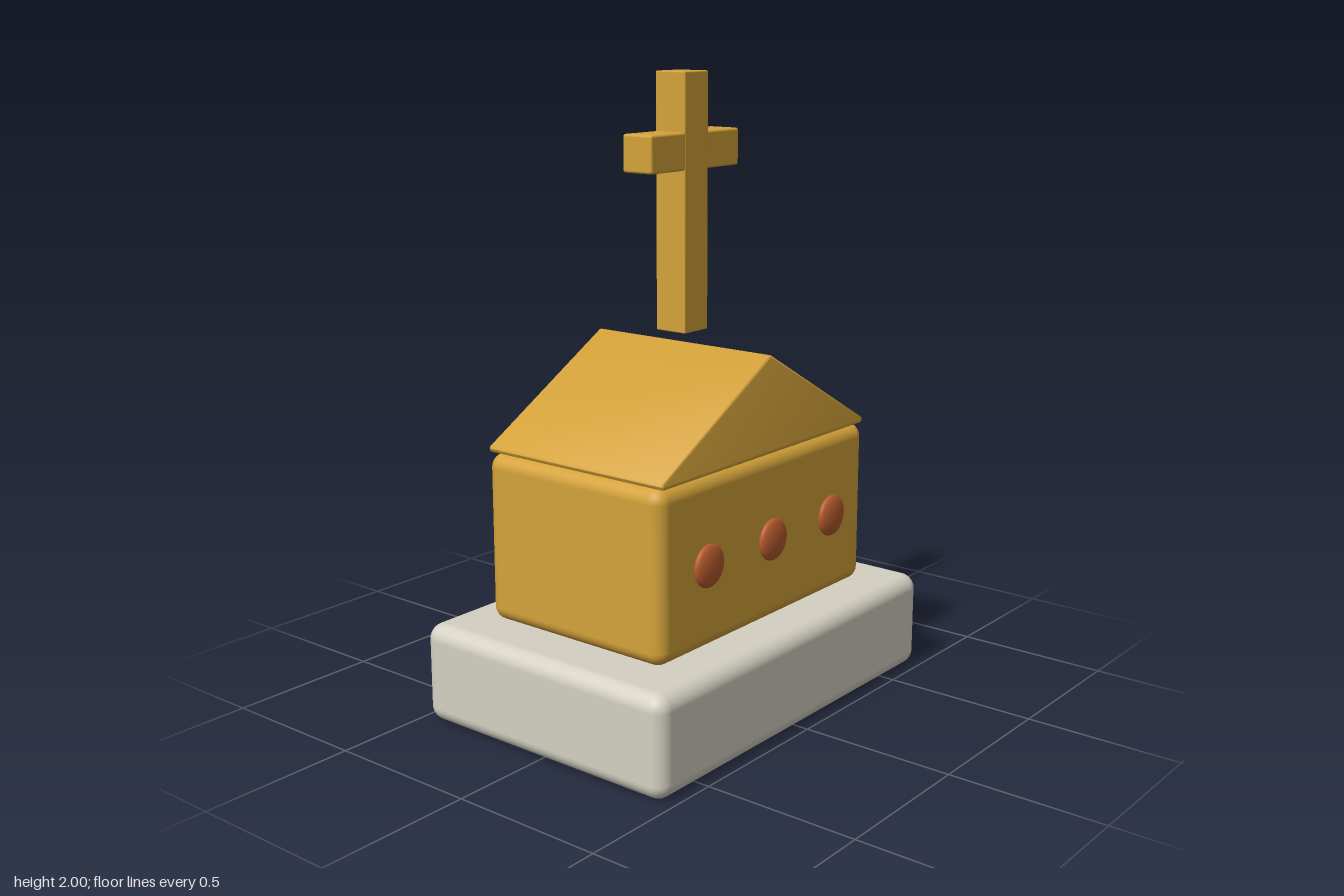
import * as THREE from 'three';
import { RoundedBoxGeometry } from 'three/addons/geometries/RoundedBoxGeometry.js';
import { toCreasedNormals } from 'three/addons/utils/BufferGeometryUtils.js';

const material = (name, color) => {
  const m = new THREE.MeshStandardMaterial({ color });
  m.name = name;
  return m;
};

export function createModel() {
  const group = new THREE.Group();
  group.name = 'chapel';
  const gold = material('gold', 0xd4a23a);
  const stone = material('pale stone', 0xd4d0c2);
  const copper = material('copper', 0xb85c2e);

  const add = (name, geometry, mat, x, y, z) => {
    const mesh = new THREE.Mesh(geometry, mat);
    mesh.name = name;
    mesh.position.set(x, y, z);
    group.add(mesh);
    return mesh;
  };
  // Rounded box centred on the axis, between two heights
  const block = (name, mat, width, y0, y1, depth, radius) =>
    add(name, new RoundedBoxGeometry(width, y1 - y0, depth, 4, radius), mat, 0, (y0 + y1) / 2, 0);

  // Plinth and hall
  block('plinth', stone, 1.38, 0, 0.32, 0.955, 0.05);
  block('hall', gold, 1.06, 0.32, 0.857, 0.69, 0.045);

  // Gable roof: triangle with softened corners, grown outward by the bevel
  const r = 0.003, bevel = 0.008;
  const corners = [
    [0.506, 0.869, -Math.PI / 2, Math.PI / 3],
    [0, 1.155, Math.PI / 3, Math.PI * 2 / 3],
    [-0.506, 0.869, Math.PI * 2 / 3, Math.PI * 1.5],
  ];
  const gable = new THREE.Shape();
  for (const [x, y, a0, a1] of corners) gable.absarc(x, y, r, a0, a1, false);
  const roof = new THREE.ExtrudeGeometry(gable, {
    depth: 0.69 - 2 * bevel, bevelThickness: bevel, bevelSize: bevel, bevelSegments: 3, curveSegments: 6,
  });
  roof.translate(0, 0, bevel - 0.345);
  add('roof', toCreasedNormals(roof, 0.7), gold, 0, 0, 0);

  // Cross, hovering just above the ridge
  block('crossPost', gold, 0.114, 1.205, 2, 0.114, 0.004);
  block('crossArm', gold, 0.428, 1.705, 1.82, 0.112, 0.008);

  // Three round front windows
  for (const x of [-0.32, 0, 0.32]) {
    add('window', new THREE.SphereGeometry(0.067, 32, 20), copper, x, 0.59, 0.359).scale.z = 0.33;
  }
  return group;
}
